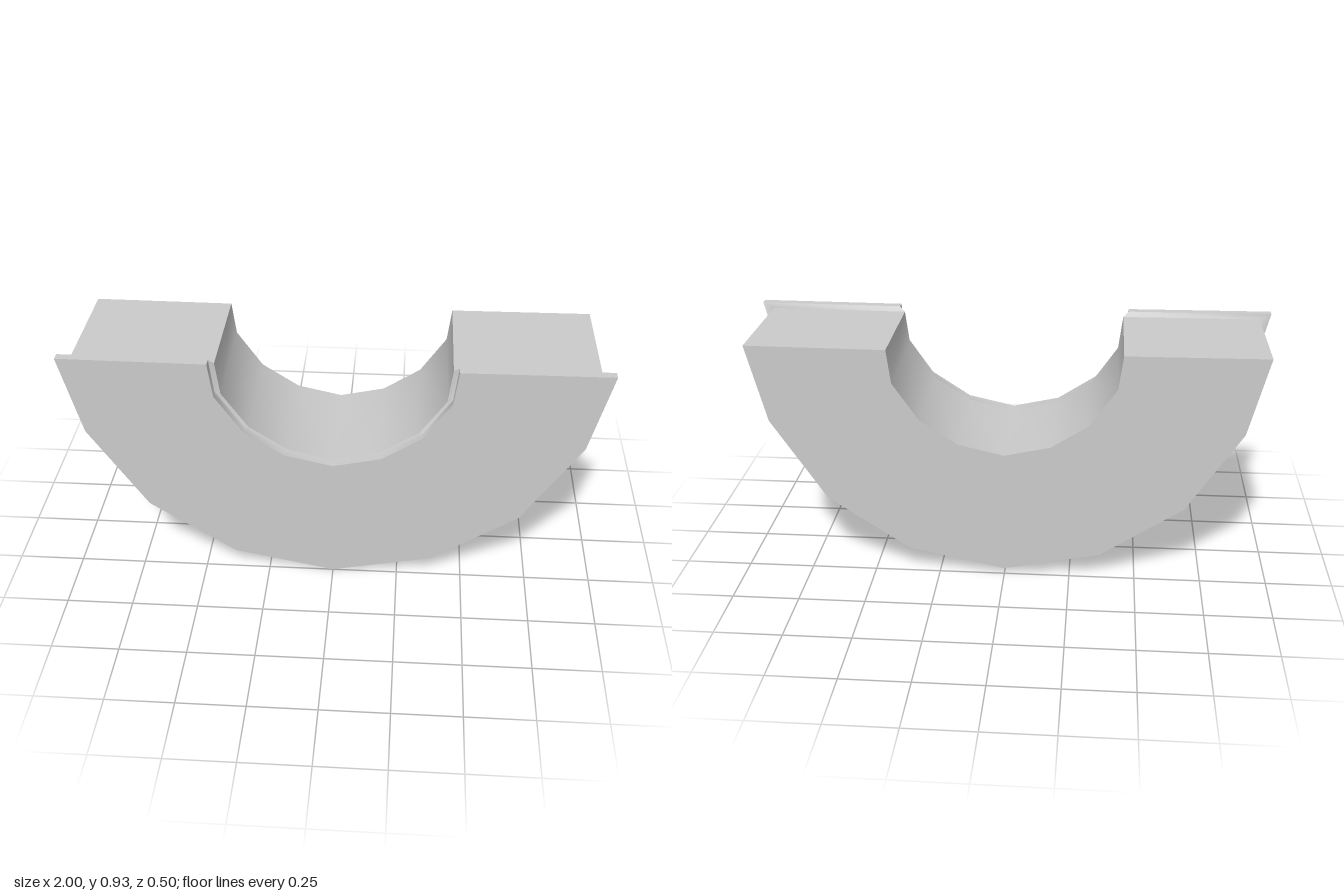
import * as THREE from 'three';
import { toCreasedNormals } from 'three/addons/utils/BufferGeometryUtils.js';

// Half arcs from the bottom centre up to the open end (+x side)
const outerHalf = [[0, 0], [0.382, 0.078], [0.707, 0.293], [0.922, 0.617], [1, 0.925]];
const innerHalf = [[0, 0.5], [0.18, 0.54], [0.33, 0.638], [0.433, 0.788], [0.45, 0.922]];

// Mirror a half arc into a full one running from -x to +x
const fullArc = (half) => [...half.slice(1).reverse().map(([x, y]) => [-x, y]), ...half];

// Loft the half-ring section through stations [z, scale], listed front to back
function loftHalfRing(stations, capFront, capBack) {
  const outer = fullArc(outerHalf);
  const inner = fullArc(innerHalf);
  const n = outer.length;
  const loop = [...outer, ...inner.reverse()]; // counter-clockwise seen from the front
  const m = loop.length;
  const positions = [];
  const index = [];
  for (const [z, s] of stations) {
    for (const [x, y] of loop) positions.push(x * s, 0.5 + (y - 0.5) * s, z);
  }
  const quad = (a, b, c, d) => index.push(a, b, c, a, c, d);
  // Side walls
  for (let k = 0; k < stations.length - 1; k++) {
    for (let i = 0; i < m; i++) {
      const j = (i + 1) % m;
      quad(k * m + i, (k + 1) * m + i, (k + 1) * m + j, k * m + j);
    }
  }
  // End faces
  const last = (stations.length - 1) * m;
  for (let i = 0; i < n - 1; i++) {
    const [a, b, c, d] = [i, i + 1, m - 2 - i, m - 1 - i];
    if (capFront) quad(a, b, c, d);
    if (capBack) quad(last + d, last + c, last + b, last + a);
  }
  const geometry = new THREE.BufferGeometry();
  geometry.setAttribute('position', new THREE.Float32BufferAttribute(positions, 3));
  geometry.setIndex(index);
  return toCreasedNormals(geometry, 0.7);
}

export function createModel() {
  const group = new THREE.Group();
  group.name = 'halfRing';
  const material = new THREE.MeshStandardMaterial({ color: 0xcccccc });
  const add = (name, geometry) => {
    const mesh = new THREE.Mesh(geometry, material);
    mesh.name = name;
    group.add(mesh);
  };

  // Wider front lip with a bevelled back edge
  add('frontFlange', loftHalfRing([[0.25, 1], [0.217, 1], [0.207, 0.955]], true, false));
  // Main half ring behind the lip
  add('ringBody', loftHalfRing([[0.207, 0.955], [-0.25, 0.955]], false, true));
  return group;
}
